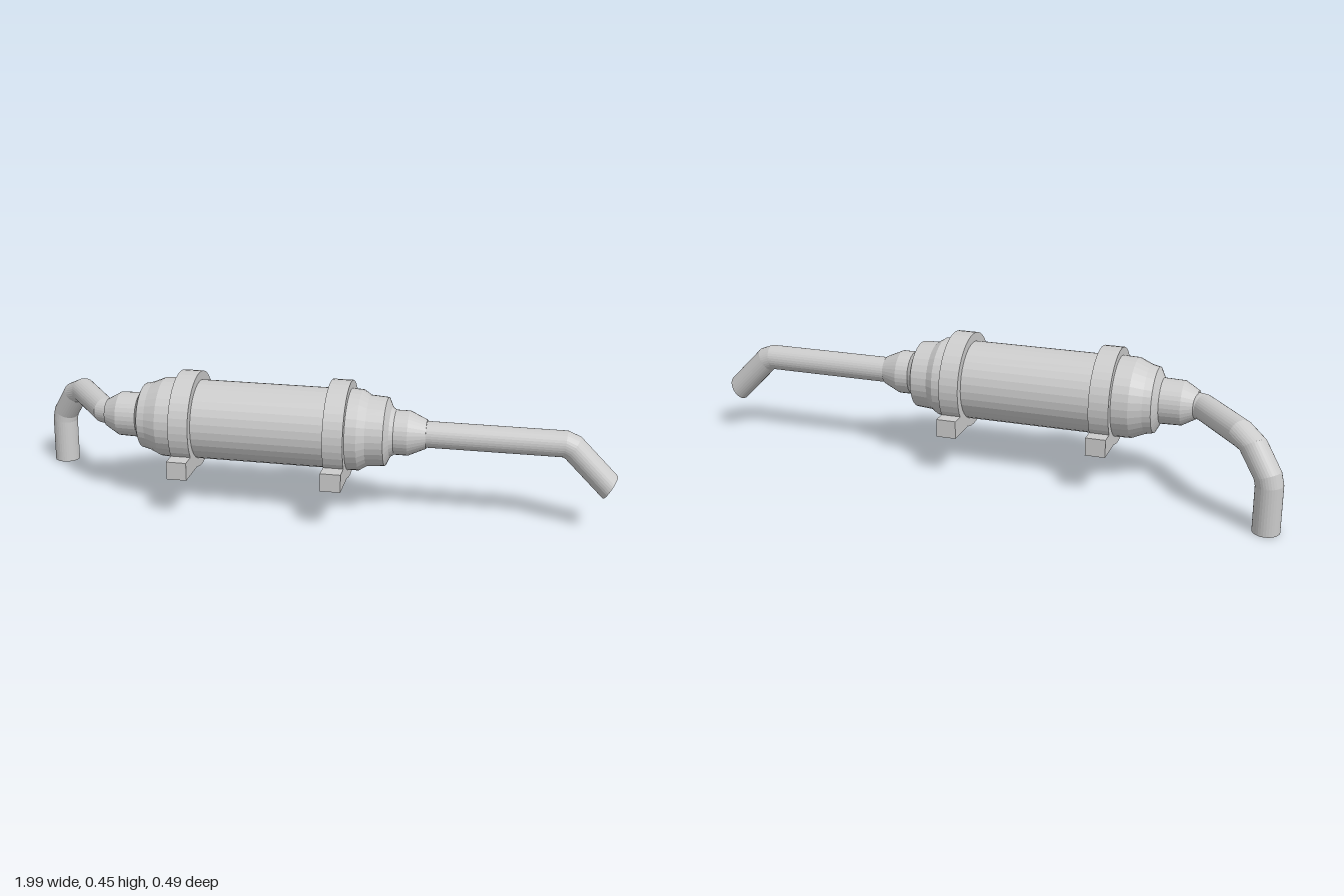
import * as THREE from 'three';

const AXIS_Y = 0.288, AXIS_Z = 0.061, SIDES = 32, PIPE_R = 0.043;

export function createModel() {
  const group = new THREE.Group();
  const material = new THREE.MeshStandardMaterial({ color: 0xcccccc, flatShading: true });

  function add(name, geometry, x = 0, y = 0, z = 0) {
    const mesh = new THREE.Mesh(geometry, material);
    mesh.name = name;
    mesh.position.set(x, y, z);
    group.add(mesh);
    return mesh;
  }

  // Bent pipe: a capped cylinder whose rings are moved to [centre, direction] stations
  function pipe(stations) {
    const n = stations.length - 1;
    const geometry = new THREE.CylinderGeometry(PIPE_R, PIPE_R, n, SIDES, n);
    const turn = new THREE.Quaternion();
    let last = new THREE.Vector3(0, 1, 0);
    const rings = stations.map(([centre, direction]) => {
      const dir = new THREE.Vector3(...direction).normalize();
      turn.premultiply(new THREE.Quaternion().setFromUnitVectors(last, dir));
      last = dir;
      return { centre: new THREE.Vector3(...centre), turn: turn.clone() };
    });
    const pos = geometry.attributes.position, v = new THREE.Vector3();
    for (let i = 0; i < pos.count; i++) {
      const ring = rings[Math.round(pos.getY(i) + n / 2)];
      v.set(pos.getX(i), 0, pos.getZ(i)).applyQuaternion(ring.turn).add(ring.centre);
      pos.setXYZ(i, v.x, v.y, v.z);
    }
    geometry.computeVertexNormals();
    return geometry;
  }

  // Stepped muffler body, turned about the x axis: [x, radius]
  const profile = [
    [-0.69, 0], [-0.69, 0.046], [-0.643, 0.073], [-0.574, 0.075], [-0.557, 0.108],
    [-0.53, 0.114], [-0.488, 0.132], [-0.43, 0.134], [-0.37, 0.131], [0.075, 0.131],
    [0.137, 0.134], [0.175, 0.132], [0.2, 0.116], [0.258, 0.112], [0.272, 0.082],
    [0.285, 0.073], [0.33, 0.073], [0.387, 0.047], [0.387, 0],
  ].map(([x, r]) => new THREE.Vector2(r, x));
  const body = new THREE.LatheGeometry(profile, SIDES).rotateZ(-Math.PI / 2);
  add('mufflerBody', body, 0, AXIS_Y, AXIS_Z);

  // Mounting clamps with their feet
  for (const x of [-0.4, 0.105]) {
    const band = new THREE.CylinderGeometry(0.16, 0.16, 0.066, 40).rotateZ(Math.PI / 2);
    add('clampBand', band, x, AXIS_Y, AXIS_Z);
    add('clampFoot', new THREE.BoxGeometry(0.066, 0.06, 0.367), x, 0.17, 0.0635);
  }

  // Straight pipe with a drooping end
  add('leftPipe', pipe([
    [[0.37, AXIS_Y, AXIS_Z], [1, 0, 0]],
    [[0.825, AXIS_Y, AXIS_Z], [1, -0.13, 0]],
    [[0.85, 0.277, 0.062], [0.85, -0.52, 0.03]],
    [[0.973, 0.155, 0.068], [0.87, -0.5, 0.03]],
  ]));

  // Pipe that swings backward and then turns down
  add('rightPipe', pipe([
    [[-0.66, AXIS_Y, AXIS_Z], [-1, 0, -0.1]],
    [[-0.71, AXIS_Y, 0.042], [-0.8, 0, -0.6]],
    [[-0.855, AXIS_Y, -0.143], [-0.62, -0.1, -0.75]],
    [[-0.897, 0.267, -0.175], [-0.45, -0.75, -0.42]],
    [[-0.95, 0.185, -0.202], [-0.35, -0.9, -0.2]],
    [[-0.957, 0.155, -0.203], [-0.1, -1, -0.03]],
    [[-0.957, 0.002, -0.198], [0, -1, 0.04]],
  ]));

  return group;
}
